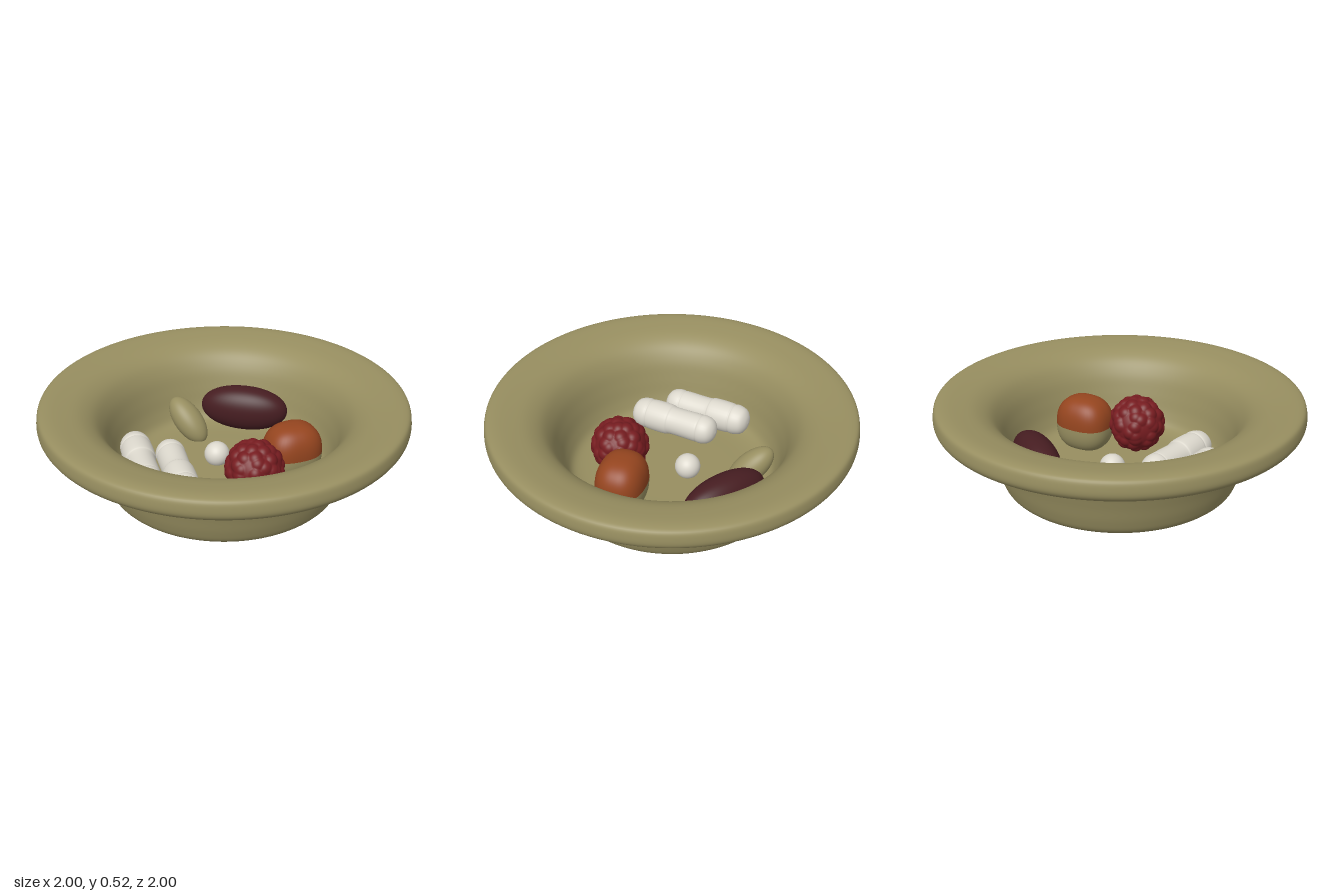
import * as THREE from 'three';
import { mergeVertices } from 'three/addons/utils/BufferGeometryUtils.js';

const mat = (name, color) => {
  const m = new THREE.MeshStandardMaterial({ color });
  m.name = name;
  return m;
};

// smooth lathe from a few [radius, height] points
function latheSmooth(points, samples, segments) {
  const curve = new THREE.CatmullRomCurve3(points.map(([r, y]) => new THREE.Vector3(r, y, 0)), false, 'centripetal');
  const pts = curve.getPoints(samples).map(p => new THREE.Vector2(Math.max(p.x, 0), p.y));
  return new THREE.LatheGeometry(pts, segments);
}

// sphere pushed towards a rounded box; n = 2 is a plain ellipsoid
function superEllipsoid(rx, ry, rz, n, thetaStart = 0, thetaLength = Math.PI) {
  const g = new THREE.SphereGeometry(1, 48, 32, 0, Math.PI * 2, thetaStart, thetaLength);
  const p = g.attributes.position, nor = g.attributes.normal, v = new THREE.Vector3();
  for (let i = 0; i < p.count; i++) {
    v.fromBufferAttribute(p, i);
    const [a, b, c] = [Math.abs(v.x), Math.abs(v.y), Math.abs(v.z)];
    v.divideScalar(Math.pow(a ** n + b ** n + c ** n, 1 / n));
    p.setXYZ(i, v.x * rx, v.y * ry, v.z * rz);
    const grad = (t, r) => Math.sign(t) * Math.abs(t) ** (n - 1) / r;
    v.set(grad(v.x, rx), grad(v.y, ry), grad(v.z, rz)).normalize();
    nor.setXYZ(i, v.x, v.y, v.z);
  }
  return g;
}

// ball covered with soft, slightly uneven lumps on a spiral layout
function lumpyBall(radius, lumps) {
  const centres = [];
  for (let i = 0; i < lumps; i++) {
    const y = 1 - 2 * (i + 0.5) / lumps, r = Math.sqrt(1 - y * y);
    const a = i * 2.39996 + 0.25 * Math.sin(i * 12.9);
    centres.push(new THREE.Vector3(r * Math.cos(a), y + 0.07 * Math.sin(i * 7.3), r * Math.sin(a)).normalize());
  }
  let g = new THREE.IcosahedronGeometry(1, 28);
  g.deleteAttribute('uv');
  g.deleteAttribute('normal');
  g = mergeVertices(g, 1e-4);
  const p = g.attributes.position, v = new THREE.Vector3();
  const size = 2.1 / Math.sqrt(lumps);
  for (let i = 0; i < p.count; i++) {
    v.fromBufferAttribute(p, i).normalize();
    let d = size;
    for (const c of centres) d = Math.min(d, v.distanceTo(c));
    v.multiplyScalar(radius * (0.93 + 0.08 * (1 - (d / size) ** 2)));
    p.setXYZ(i, v.x, v.y, v.z);
  }
  g.computeVertexNormals();
  return g;
}

export function createModel() {
  const group = new THREE.Group();
  const olive = mat('olive', 0x978e60);
  const white = mat('ivory', 0xdcd8cd);
  const red = mat('berryRed', 0x761c20);
  const maroon = mat('maroon', 0x461d21);
  const orange = mat('rustOrange', 0x95451f);

  const add = (name, geometry, material, x, y, z, parent = group) => {
    const m = new THREE.Mesh(geometry, material);
    m.name = name;
    m.position.set(x, y, z);
    parent.add(m);
    return m;
  };

  // bowl: underside, outer wall, rim, inner wall, floor
  add('bowl', latheSmooth([
    [0, 0.01], [0.3, 0.01], [0.53, 0.01], [0.59, 0.02], [0.635, 0.05], [0.66, 0.11], [0.685, 0.21],
    [0.71, 0.29], [0.75, 0.355], [0.81, 0.385], [0.92, 0.398], [0.975, 0.412], [0.998, 0.44],
    [1, 0.48], [0.988, 0.518], [0.95, 0.531], [0.86, 0.525], [0.77, 0.505], [0.7, 0.462],
    [0.65, 0.39], [0.615, 0.29], [0.585, 0.19], [0.55, 0.125], [0.49, 0.1], [0.3, 0.095], [0, 0.095],
  ], 130, 128), olive, 0, 0, 0);

  // two capsules, each with a slightly wider cap half
  const capsuleShape = [
    [0, -0.26], [0.038, -0.252], [0.066, -0.232], [0.08, -0.2], [0.082, -0.17], [0.079, -0.16],
    [0.081, -0.15], [0.081, 0.015], [0.087, 0.03], [0.087, 0.15], [0.084, 0.16], [0.087, 0.17],
    [0.084, 0.2], [0.07, 0.234], [0.038, 0.255], [0, 0.262],
  ];
  const capsule = latheSmooth(capsuleShape, 70, 32);
  [['backCapsule', -0.45, -0.115, 1], ['frontCapsule', -0.315, 0.05, -1]].forEach(([name, x, z, way]) => {
    const c = add(name, capsule, white, x, 0.2, z);
    c.quaternion.setFromUnitVectors(new THREE.Vector3(0, 1, 0), new THREE.Vector3(0.26 * way, 0, -0.966 * way).normalize());
  });

  // small round pill in the middle
  add('roundPill', new THREE.SphereGeometry(0.071, 32, 24), white, 0.005, 0.14, -0.09);

  // lumpy berry
  add('berry', lumpyBall(0.162, 75), red, 0.025, 0.24, 0.288);

  // dark bean lying against the wall
  const bean = add('bean', superEllipsoid(0.256, 0.132, 0.108, 2.1), maroon, 0.33, 0.23, -0.347);
  bean.rotation.y = -0.74;

  // olive seed leaning towards the back
  const seed = add('seed', superEllipsoid(0.082, 0.157, 0.08, 2), olive, 0.005, 0.19, -0.438);
  seed.quaternion.setFromUnitVectors(new THREE.Vector3(0, 1, 0), new THREE.Vector3(-0.28, 0.67, -0.69).normalize());

  // nut: rust top half over an olive lower half
  const nut = new THREE.Group();
  nut.name = 'nut';
  nut.position.set(0.315, 0.225, 0.203);
  nut.rotation.y = -0.12;
  group.add(nut);
  add('nutTop', superEllipsoid(0.162, 0.165, 0.134, 2.5, 0, Math.PI / 2), orange, 0, 0, 0, nut);
  add('nutBase', superEllipsoid(0.162, 0.16, 0.134, 2.5, Math.PI / 2, Math.PI / 2), olive, 0, 0, 0, nut);

  return group;
}
